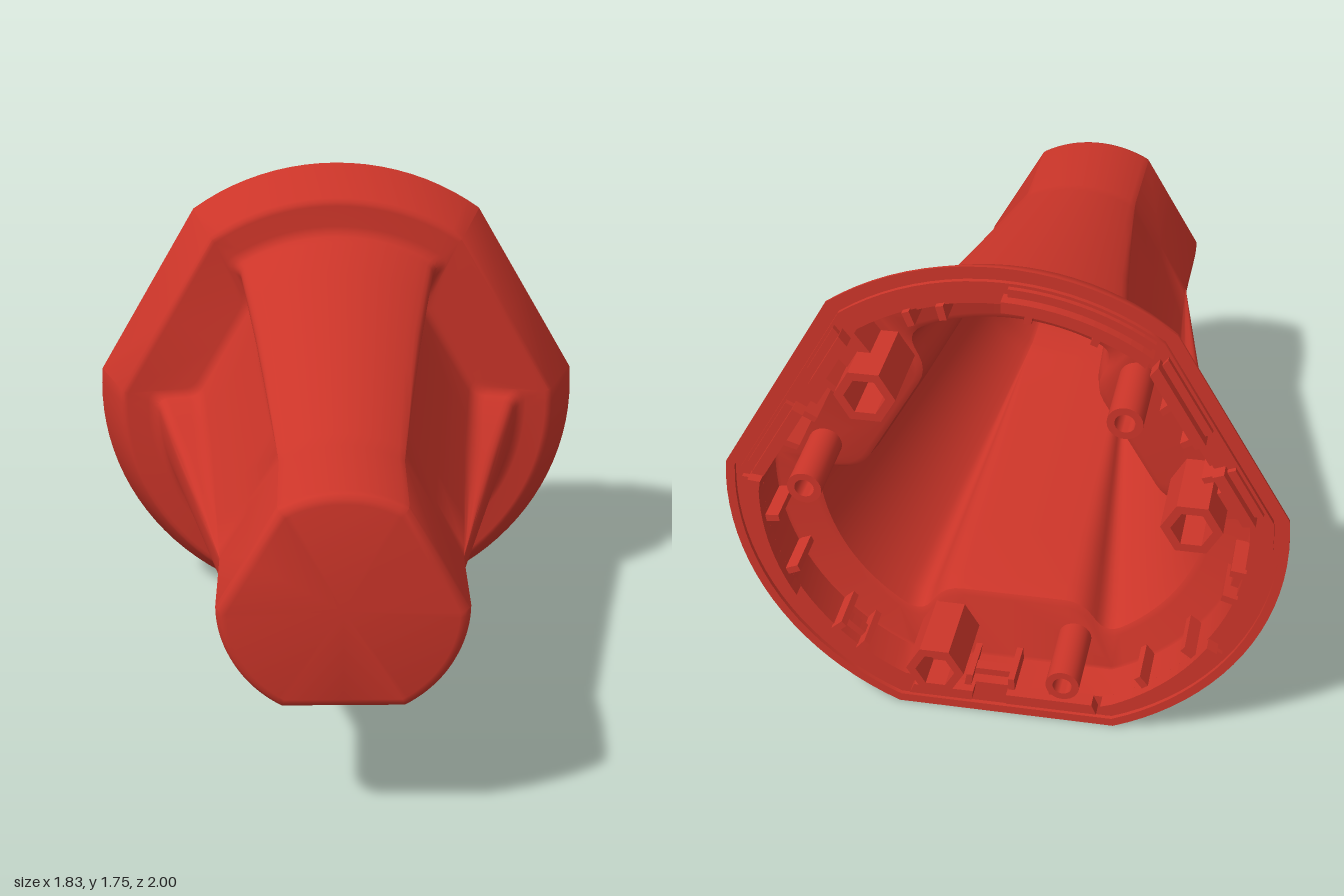
import * as THREE from 'three';
import { toCreasedNormals } from 'three/addons/utils/BufferGeometryUtils.js';

const CY = 0.8385;            // height of the main axis
const RIM_R = 0.9165, RIM_D = 0.8385;
const rad = THREE.MathUtils.degToRad;

// Three-lobed cross-section: flats at distance d, arcs of radius R, joined by side walls
function section({ R, d, hw, la, r = 0.04 }) {
  const B = new THREE.Vector2(d, hw);
  const C = new THREE.Vector2(R * Math.cos(la), R * Math.sin(la));
  const k = Math.min(r, B.distanceTo(C) * 0.45);
  const side = C.clone().sub(B).normalize();
  const bend = (p, q, s, n) => new THREE.QuadraticBezierCurve(p, q, s).getPoints(n);
  const a0 = la + k / Math.max(R, 0.01);
  const on = a => new THREE.Vector2(R * Math.cos(a), R * Math.sin(a));
  const half = [
    ...bend(new THREE.Vector2(d, hw - k), B, B.clone().addScaledVector(side, k), 4),
    ...bend(C.clone().addScaledVector(side, -k), C, on(a0), 5),
  ];
  for (let i = 1; i <= 10; i++) half.push(on(a0 + (Math.PI / 3 - a0) * i / 10));
  const sector = [...half.slice(0, -1).reverse().map(p => new THREE.Vector2(p.x, -p.y)),
    new THREE.Vector2(d, 0), ...half];
  const out = [];
  for (const deg of [30, 150, 270])
    for (const p of sector) out.push(p.clone().rotateAround(new THREE.Vector2(), rad(deg)));
  return out;
}

// Flange outline inset from the rim
function rim(i) {
  const R = RIM_R - i, d = RIM_D - i, hw = Math.sqrt(R * R - d * d);
  return { R, d, hw, la: Math.atan2(hw, d) };
}

// Body outline: t = 0 at the nose, 1 at the flange
function body(t, i = 0) {
  const mix = (a, b) => a + (b - a) * t;
  const R0 = 0.4 - i, d0 = 0.348 - i, hw0 = Math.sqrt(R0 * R0 - d0 * d0);
  return {
    R: mix(R0, 0.685 - i), d: mix(d0, 0.48 - i), hw: mix(hw0, 0.22 + i * 0.4),
    la: mix(Math.atan2(hw0, d0), 0.468 + i * 1.2), r: i ? 0.06 : 0.04,
  };
}

// Skin consecutive sections into one surface
function loft(rows) {
  const rings = rows.map(([s, z]) => section(s).map(p => new THREE.Vector3(p.x, p.y, z)));
  const pos = [], tri = new THREE.Triangle();
  const add = (a, b, c) => {
    tri.set(a, b, c);
    if (tri.getArea() > 1e-8) for (const p of [a, b, c]) pos.push(p.x, p.y, p.z);
  };
  for (let j = 0; j + 1 < rings.length; j++) {
    const A = rings[j], B = rings[j + 1], n = A.length;
    for (let i = 0; i < n; i++) {
      const k = (i + 1) % n;
      add(A[i], B[i], B[k]);
      add(A[i], B[k], A[k]);
    }
  }
  const g = new THREE.BufferGeometry();
  g.setAttribute('position', new THREE.Float32BufferAttribute(pos, 3));
  return toCreasedNormals(g, 0.6);
}

// Curved wall piece following the flange outline between two insets
function rimPiece(a0, a1, i0, i1, z0, z1) {
  const at = (deg, i) => {
    const off = ((deg - 30) % 120 + 180) % 120 - 60;
    const r = Math.min(RIM_R - i, (RIM_D - i) / Math.cos(rad(off)));
    return new THREE.Vector2(r * Math.cos(rad(deg)), r * Math.sin(rad(deg)));
  };
  const outer = [], inner = [], n = Math.max(2, Math.ceil((a1 - a0) / 3));
  for (let k = 0; k <= n; k++) {
    const a = a0 + (a1 - a0) * k / n;
    outer.push(at(a, i0));
    inner.unshift(at(a, i1));
  }
  return extrude(new THREE.Shape([...outer, ...inner]), z0, z1);
}

function extrude(shape, z0, z1) {
  return new THREE.ExtrudeGeometry(shape, { depth: z1 - z0, bevelEnabled: false, curveSegments: 16 })
    .translate(0, 0, z0);
}

// Hollow post; sides = 6 gives a nut socket, more gives a round tube
function post(sides, R, r, z0, z1) {
  const ring = q => Array.from({ length: sides }, (_, k) => new THREE.Vector2(
    q * Math.cos(k * 2 * Math.PI / sides), q * Math.sin(k * 2 * Math.PI / sides)));
  const shape = new THREE.Shape(ring(R));
  shape.holes.push(new THREE.Path(ring(r)));
  return toCreasedNormals(extrude(shape, z0, z1), 0.6);
}

export function createModel() {
  const model = new THREE.Group();
  model.name = 'flangedHousing';
  const mat = new THREE.MeshStandardMaterial({ color: 0xcc3529 });
  const add = (name, geo, parent = model) => {
    const m = new THREE.Mesh(geo, mat);
    m.name = name;
    m.position.y += CY;
    parent.add(m);
    return m;
  };

  // Shell: nose, tapered lobed body, flange, grooved rim, then the hollow inside
  const point = { R: 1e-5, d: 1e-5, hw: 1e-6, la: 0.5 };
  const steps = [0, 0.05, 0.2, 0.4, 0.6, 0.8, 0.97];
  const zAt = t => 0.62 - 1.32 * t;
  const grow = (s, o) => ({ ...s, R: s.R + o, d: s.d + o, hw: s.hw - o * 0.4, la: s.la - o });
  const rows = [
    [point, 1], [body(0, 0.035), 1], [body(0, 0.018), 0.995], [body(0, 0.005), 0.982], [body(0), 0.965],
    ...steps.map(t => [body(t), zAt(t)]),
    [grow(body(0.985), 0.008), -0.688], [grow(body(1), 0.02), -0.7], [grow(body(1), 0.04), -0.705],
    [rim(0.115), -0.705], [rim(0.1), -0.708], [rim(0.088), -0.72], [rim(0), -0.882], [rim(0), -0.89],
    [rim(0.03), -0.89], [rim(0.03), -0.875], [rim(0.05), -0.875], [rim(0.05), -0.89],
    [rim(0.125), -0.89], [rim(0.125), -0.75], [rim(0.135), -0.745],
    [grow(body(1, 0.045), 0.03), -0.745], [grow(body(1, 0.045), 0.01), -0.735],
    ...steps.slice().reverse().map(t => [body(t, 0.045), zAt(t)]),
    [body(0, 0.045), 0.93], [body(0, 0.06), 0.95], [point, 0.95],
  ];
  add('shell', loft(rows));

  // Fittings repeated around the axis
  for (let k = 0; k < 3; k++) {
    const turn = 120 * k;
    const group = new THREE.Group();
    group.name = 'fittings' + (k + 1);
    model.add(group);

    // Raised locating lip, broken by gaps
    for (const [a, b] of [[7, 29], [38, 53], [91, 125]]) {
      add('locatingLip', rimPiece(a + turn, b + turn, 0.087, 0.125, -0.94, -0.885), group);
      add('lipStep', rimPiece(a + turn + 1, b + turn - 1, 0.06, 0.09, -0.907, -0.885), group);
    }
    // Snap ribs on the inside of the flange wall
    for (const a of [16, 27, 39, 68, 76, 96, 112])
      add('snapRib', rimPiece(a + turn, a + turn + 1.8, 0.12, 0.17, -0.91, -0.74), group);
    add('snapLedge', rimPiece(28 + turn, 40 + turn, 0.12, 0.15, -0.85, -0.81), group);
    add('snapLedge', rimPiece(69 + turn, 77 + turn, 0.12, 0.15, -0.85, -0.81), group);

    // Nut socket, joined to the wall by a web
    const place = (mesh, deg) => {
      mesh.position.x = 0.627 * Math.cos(rad(deg));
      mesh.position.y += 0.627 * Math.sin(rad(deg));
    };
    place(add('nutSocket', post(6, 0.098, 0.066, -1, -0.72), group), 50 + turn);
    add('socketWeb', rimPiece(46 + turn, 54 + turn, 0.12, 0.21, -0.88, -0.73), group);

    // Screw tube
    place(add('screwTube', post(24, 0.056, 0.032, -1, -0.72), group), 10 + turn);
  }
  return model;
}
